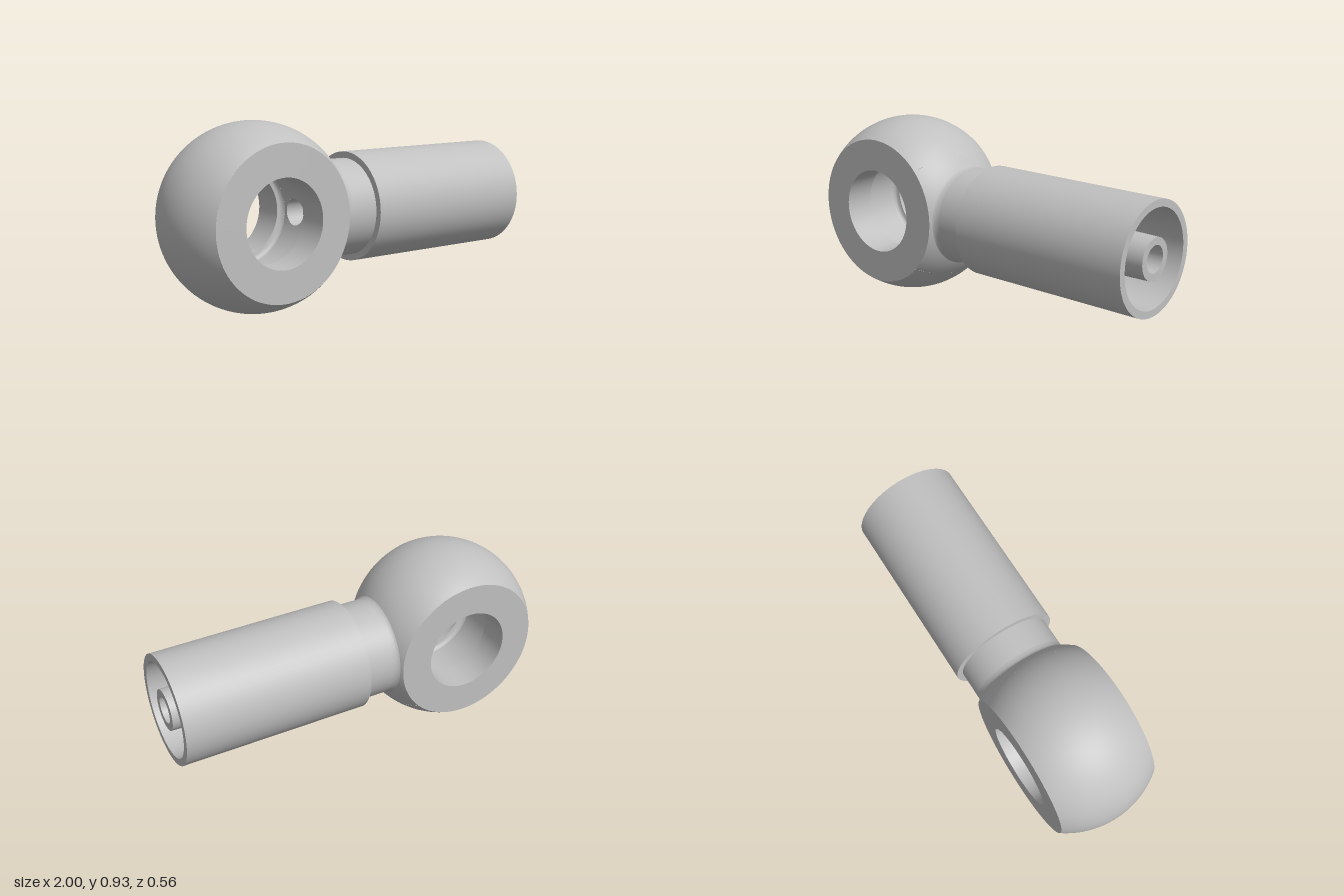
import * as THREE from 'three';

const SEG = 96;
const BALL = 0.465, HALF = 0.27, BORE = 0.217, GROOVE = 0.25, CHANNEL = 0.067;

// Revolve several profiles of [radius, height]; edges between them stay sharp.
function revolve(name, material, profiles, axis, start = 0, length = Math.PI * 2) {
  const group = new THREE.Group();
  group.name = name;
  for (const profile of profiles) {
    const points = profile.map(([r, h]) => new THREE.Vector2(r, h));
    const geometry = new THREE.LatheGeometry(points, SEG, start, length);
    if (axis === 'x') geometry.rotateZ(-Math.PI / 2);
    else geometry.rotateX(Math.PI / 2);
    const mesh = new THREE.Mesh(geometry, material);
    mesh.name = name + 'Surface';
    group.add(mesh);
  }
  return group;
}

// Curved wall around z, facing +x, pierced by a round hole along x.
function piercedWall(name, material, radiusAt, hole, halfAngle, halfZ, round, inward) {
  const around = 64, rings = 12;
  const geometry = new THREE.PlaneGeometry(1, 1, around, rings);
  const pos = geometry.attributes.position, nor = geometry.attributes.normal;
  const sign = inward ? -1 : 1;
  for (let j = 0; j <= rings; j++) {
    for (let i = 0; i <= around; i++) {
      const psi = sign * (i / around) * Math.PI * 2;
      const c = Math.cos(psi), s = Math.sin(psi);
      const k = 1 / Math.max(Math.abs(c), Math.abs(s));
      const t = j / rings;
      const holeAngle = Math.asin(hole * c / radiusAt(hole * s));
      const a = THREE.MathUtils.lerp(holeAngle, halfAngle * c * k, t);
      const z = THREE.MathUtils.lerp(hole * s, halfZ * s * k, t);
      const r = radiusAt(z);
      const n = new THREE.Vector3(r * Math.cos(a), r * Math.sin(a), round ? z : 0);
      const index = j * (around + 1) + i;
      pos.setXYZ(index, n.x, n.y, z);
      n.normalize().multiplyScalar(sign);
      nor.setXYZ(index, n.x, n.y, n.z);
    }
  }
  // Make the winding agree with the normals.
  const ids = geometry.index.array;
  const p = [0, 1, 2].map((q) => new THREE.Vector3().fromBufferAttribute(pos, ids[q]));
  const face = p[1].sub(p[0]).cross(p[2].sub(p[0]));
  if (face.dot(new THREE.Vector3().fromBufferAttribute(nor, ids[0])) < 0) {
    for (let q = 0; q < ids.length; q += 3) [ids[q], ids[q + 1]] = [ids[q + 1], ids[q]];
  }
  const mesh = new THREE.Mesh(geometry, material);
  mesh.name = name;
  return mesh;
}

export function createModel() {
  const metal = new THREE.MeshStandardMaterial({ color: 0xc0c0c0 });
  metal.name = 'grey metal';
  const model = new THREE.Group();
  model.name = 'banjoFitting';

  // Ball eye, cut flat on both sides
  const eye = new THREE.Group();
  eye.name = 'eye';
  eye.position.x = -0.535;
  const ballRadius = (z) => Math.sqrt(BALL * BALL - z * z);
  const ballProfile = [];
  for (let i = 0; i <= 32; i++) {
    const z = HALF * (i / 16 - 1);
    ballProfile.push([ballRadius(z), z]);
  }
  const open = 0.75, openGroove = 0.45;
  eye.add(revolve('ball', metal, [ballProfile], 'z',
    Math.PI / 2 + open, Math.PI * 2 - 2 * open));
  eye.add(piercedWall('ballNeckSide', metal, ballRadius, 0.235, open, HALF, true, false));
  const flat = ballRadius(HALF);
  eye.add(revolve('eyeFaces', metal, [
    [[flat, HALF], [BORE, HALF]],
    [[BORE, -HALF], [flat, -HALF]],
  ], 'z'));

  // Bore with a rounded oil groove
  const lip = [[BORE, 0.11], [0.232, 0.109], [0.244, 0.104], [GROOVE, 0.09]];
  eye.add(revolve('bore', metal, [
    [[BORE, HALF], [BORE, 0.11]],
    lip,
    lip.map(([r, z]) => [r, -z]).reverse(),
    [[BORE, -0.11], [BORE, -HALF]],
  ], 'z'));
  eye.add(revolve('grooveFloor', metal, [[[GROOVE, 0.09], [GROOVE, -0.09]]], 'z',
    Math.PI / 2 + openGroove, Math.PI * 2 - 2 * openGroove));
  eye.add(piercedWall('grooveFloorOutlet', metal, () => GROOVE, CHANNEL, openGroove, 0.09, false, true));
  model.add(eye);

  // Neck with a small fillet against the ball
  model.add(revolve('neck', metal, [
    [[0.264, -0.156], [0.255, -0.145], [0.249, -0.133], [0.247, -0.115]],
    [[0.247, -0.115], [0.247, 0.03]],
  ], 'x'));

  // Crimp sleeve with a tapered cavity
  const floor = 0.2;
  model.add(revolve('sleeve', metal, [
    [[0.247, 0.03], [0.28, 0.03]],
    [[0.28, 0.03], [0.28, 1]],
    [[0.28, 1], [0.243, 1]],
    [[0.243, 1], [0.208, floor]],
    [[0.208, floor], [0.117, floor]],
  ], 'x'));

  // Hose nipple and the channel leading to the bore
  model.add(revolve('nipple', metal, [
    [[0.117, floor], [0.104, 1]],
    [[0.104, 1], [CHANNEL, 1]],
    [[CHANNEL, 1], [CHANNEL, -0.29]],
  ], 'x'));

  // The fitting's long axis runs at this height
  model.children.forEach((part) => { part.position.y = 0.466; });
  return model;
}
